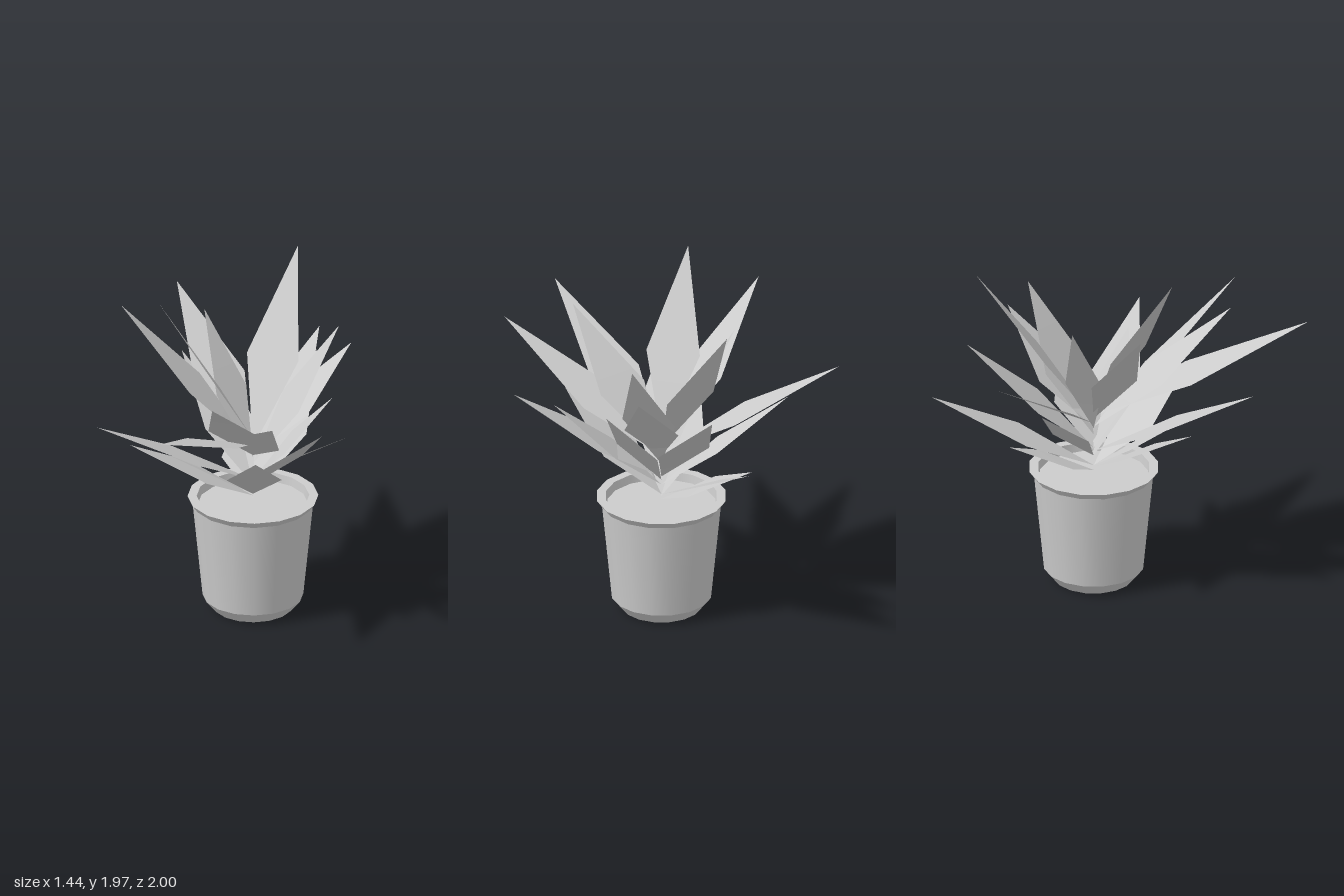
import * as THREE from 'three';

const SIDES = 16;
const POT_X = 0.165, POT_Z = -0.075;

// every leaf: tip x, y, z, height of its root, then optional half width and roll
const LEAVES = [
  // upper tier
  [-0.37, 1.97, 0.10, 1.03], [0.43, 1.93, -0.69, 0.98], [-0.57, 1.79, -0.24, 0.98, 0.135],
  [-0.10, 1.69, -0.39, 0.92, 0.11], [0.65, 1.67, -0.20, 0.88], [-0.24, 1.57, -1.0, 0.95],
  [0.25, 1.56, 0.92, 0.93, 0.1, 0.05], [-0.08, 1.57, 0.68, 0.93], [0.72, 1.52, -0.29, 0.93],
  [-0.38, 1.52, 1.0, 1.0],
  // middle tier
  [0.55, 1.44, -0.67, 0.8], [0.69, 1.35, 0.57, 0.8], [-0.72, 1.35, 0.42, 0.78],
  [0.61, 1.32, 0.0, 0.78], [-0.22, 1.30, -0.67, 0.75, 0.11], [0.54, 1.27, 0.40, 0.75, 0.135],
  // lower tier
  [0.165, 1.18, 0.57, 0.69], [0.54, 1.18, -0.91, 0.69], [-0.33, 1.11, 0.27, 0.69, 0.1],
  [-0.53, 1.10, 0.13, 0.68], [0.13, 0.97, -0.66, 0.66],
];

// Flat pointed leaf, widest a little below the middle
function leafGeometry([tx, ty, tz, rootY, half = 0.155, roll = 0]) {
  const dx = tx - POT_X, dz = tz - POT_Z;
  const reach = Math.hypot(dx, dz);
  const sx = -dz / reach * half, sz = dx / reach * half;
  const mx = POT_X + dx * 0.44, mz = POT_Z + dz * 0.44;
  const my = rootY + (ty - rootY) * 0.45;
  const g = new THREE.BufferGeometry();
  g.setAttribute('position', new THREE.Float32BufferAttribute([
    POT_X, rootY, POT_Z,
    mx + sx, my + roll, mz + sz,
    mx - sx, my - roll, mz - sz,
    tx, ty, tz,
  ], 3));
  g.setIndex([0, 1, 2, 2, 1, 3]);
  g.computeVertexNormals();
  return g;
}

export function createModel() {
  const model = new THREE.Group();
  model.name = 'pottedPlant';
  const grey = new THREE.MeshStandardMaterial({ color: 0xcccccc, side: THREE.DoubleSide });
  grey.name = 'light grey';

  // Pot, open underneath: each band is its own lathe so that the edges stay sharp
  const pot = new THREE.Group();
  pot.name = 'pot';
  pot.position.set(POT_X, 0, POT_Z);
  const bands = {
    bottomBevel: [[0.225, 0], [0.282, 0.07]],
    wall: [[0.282, 0.07], [0.338, 0.64]],
    rimOutside: [[0.338, 0.64], [0.366, 0.68]],
    rimTop: [[0.366, 0.68], [0.315, 0.68]],
    rimInside: [[0.315, 0.68], [0.308, 0.63]],
    soil: [[0.308, 0.63], [0, 0.63]],
  };
  for (const [name, pts] of Object.entries(bands)) {
    const profile = pts.map(([r, y]) => new THREE.Vector2(r, y));
    const band = new THREE.Mesh(new THREE.LatheGeometry(profile, SIDES), grey);
    band.name = name;
    pot.add(band);
  }
  model.add(pot);

  // Leaves fanning out from the middle of the pot
  const leaves = new THREE.Group();
  leaves.name = 'leaves';
  for (const spec of LEAVES) {
    const leaf = new THREE.Mesh(leafGeometry(spec), grey);
    leaf.name = 'leaf';
    leaves.add(leaf);
  }
  model.add(leaves);
  return model;
}
